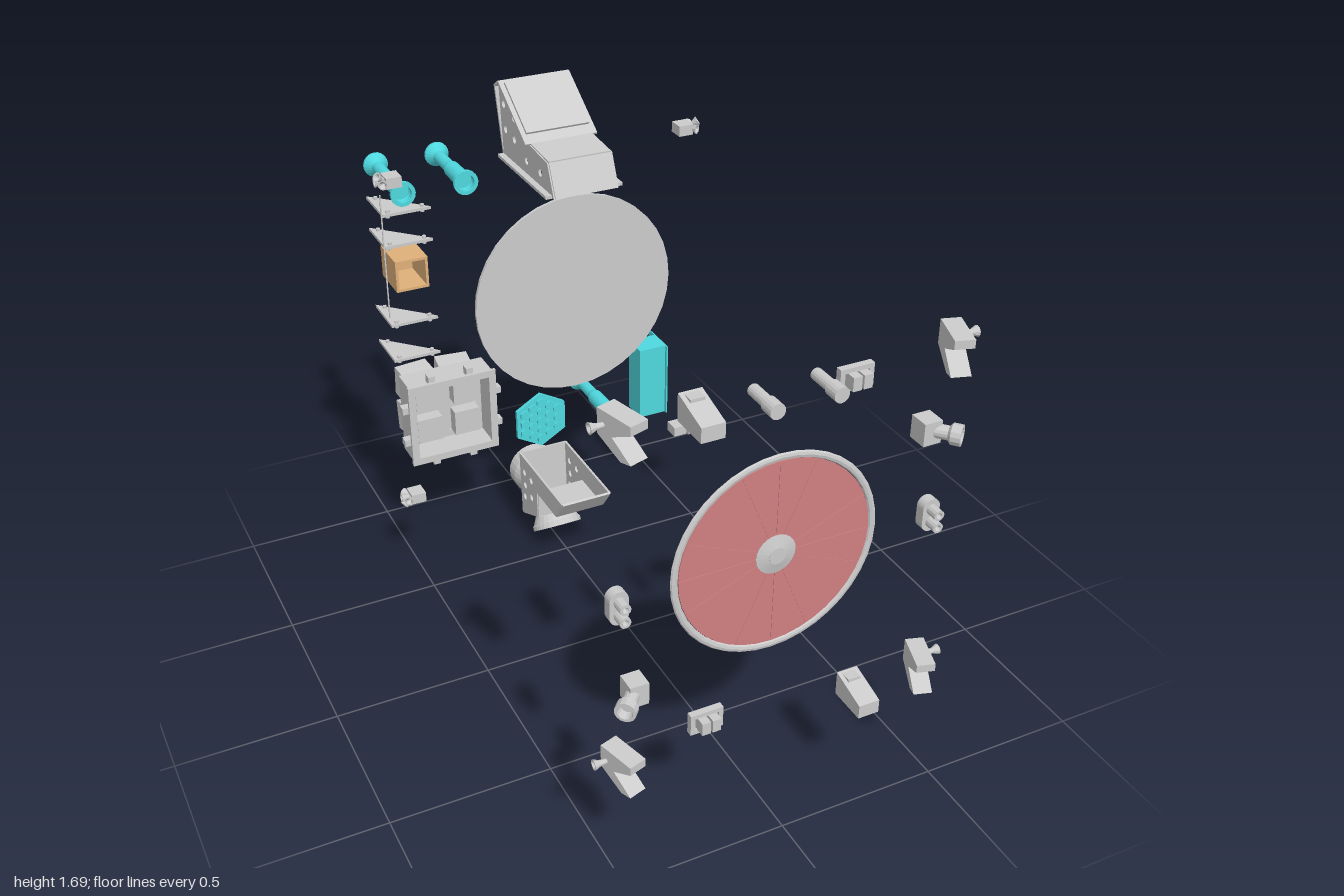
import * as THREE from 'three';

const mat = (color) => new THREE.MeshStandardMaterial({ color, side: THREE.DoubleSide, flatShading: true });
const GREY = mat(0xcccccc), TEAL = mat(0x4fd9e0), RED = mat(0xd08080), TAN = mat(0xe0b07a);

export function createModel() {
  const root = new THREE.Group();
  const add = (name, geo, pos = [0, 0, 0], m = GREY, parent = root) => {
    const mesh = new THREE.Mesh(geo, m);
    mesh.name = name;
    mesh.position.set(...pos);
    parent.add(mesh);
    return mesh;
  };
  const group = (name, x = 0, y = 0, z = 0, parent = root) => {
    const g = new THREE.Group();
    g.name = name;
    g.position.set(x, y, z);
    parent.add(g);
    return g;
  };
  const box = (w, h, d) => new THREE.BoxGeometry(w, h, d);
  const hole = (x, y, r) => new THREE.Path().absarc(x, y, r, 0, Math.PI * 2, true);
  const poly = (pts) => new THREE.Shape(pts.map((p) => new THREE.Vector2(...p)));
  const extrude = (shape, depth) =>
    new THREE.ExtrudeGeometry(shape, { depth, bevelEnabled: false, curveSegments: 6 }).translate(0, 0, -depth / 2);
  // Turned part along +z from [radius, z] pairs
  const turned = (pts, n = 20) =>
    new THREE.LatheGeometry(pts.map((p) => new THREE.Vector2(...p)), n).rotateX(Math.PI / 2);
  // Open frame with a square hole, facing z
  const frame = (w, h, t, d) => {
    const rect = (a, b) => [[-a, -b], [a, -b], [a, b], [-a, b]];
    const s = poly(rect(w / 2, h / 2));
    s.holes.push(poly(rect(w / 2 - t, h / 2 - t)));
    return extrude(s, d);
  };
  // Flat panel across x, running between two [z, y] points
  const panel = (g, name, a, b, w) => {
    const dz = b[0] - a[0], dy = b[1] - a[1];
    const p = add(name, box(w, 0.008, Math.hypot(dz, dy)), [0, (a[1] + b[1]) / 2, (a[0] + b[0]) / 2], GREY, g);
    p.rotation.x = -Math.atan2(dy, dz);
    return p;
  };
  // Pair of pierced side plates with [z, y] outline
  const sidePlates = (g, pts, holes, x) => {
    const s = poly(pts);
    for (const [z, y] of holes) s.holes.push(hole(z, y, 0.013));
    for (const k of [-1, 1]) add('sidePlate', extrude(s, 0.008).rotateY(-Math.PI / 2), [k * x, 0, 0], GREY, g);
  };

  // Red ribbed dish with rim and hub
  const dish = group('dish', 0, 0.885, 0.88);
  add('dishPanel', new THREE.CylinderGeometry(0.288, 0.288, 0.004, 40).rotateX(Math.PI / 2), [0, 0, 0], RED, dish);
  add('dishRim', new THREE.TorusGeometry(0.3, 0.011, 8, 40).scale(1, 1, 0.6), [0, 0, 0], GREY, dish);
  add('dishHub', turned([[0, -0.006], [0.06, -0.004], [0.06, 0.004], [0.025, 0.012], [0.025, 0.014], [0, 0.014]], 24), [0, 0, 0], GREY, dish);
  for (let i = 0; i < 16; i++) {
    const a = (i * Math.PI) / 8;
    const rib = add('dishRib', box(0.225, 0.002, 0.007), [0.172 * Math.cos(a), 0.172 * Math.sin(a), 0], RED, dish);
    rib.rotation.z = a;
  }

  // Large plain disc
  add('largeDisc', new THREE.CylinderGeometry(0.36, 0.36, 0.012, 36).rotateX(Math.PI / 2), [0.14, 0.9, -0.71]);

  // Upper housing: pierced sides, sloped panels, open below
  const upper = group('upperHousing');
  const up = [[-0.285, 1.455], [-0.33, 1.555], [-0.465, 1.565], [-0.672, 1.7], [-0.703, 1.68], [-0.682, 1.455]];
  sidePlates(upper, up, [[-0.385, 1.505], [-0.49, 1.505], [-0.585, 1.61], [-0.665, 1.63], [-0.585, 1.54], [-0.655, 1.55]], 0.103);
  for (let i = 0; i < 4; i++) panel(upper, 'topPanel', up[i], up[i + 1], i < 2 ? 0.205 : 0.24);
  panel(upper, 'raisedPanel', [-0.49, 1.592], [-0.655, 1.7], 0.21);
  const back = poly([[-0.107, -0.115], [0.107, -0.115], [0.12, 0.115], [-0.12, 0.115]]);
  for (const x of [-0.06, 0, 0.06]) for (const y of [-0.05, 0.05]) back.holes.push(hole(x, y, 0.013));
  add('backPlate', extrude(back, 0.008), [0, 1.568, -0.693], GREY, upper).rotation.x = -0.1;
  for (const k of [-1, 1]) add('baseFlange', box(0.024, 0.01, 0.38), [k * 0.115, 1.458, -0.49], GREY, upper);

  // Lower housing: open above, with two bells
  const lower = group('lowerHousing');
  const lo = [[-0.69, 0.33], [-0.32, 0.33], [-0.38, 0.25], [-0.54, 0.25], [-0.54, 0.15], [-0.68, 0.085]];
  sidePlates(lower, lo, [[-0.59, 0.27], [-0.65, 0.27], [-0.59, 0.2], [-0.65, 0.17], [-0.645, 0.22]], 0.087);
  for (let i = 1; i < 6; i++) panel(lower, 'shellPanel', lo[i], lo[(i + 1) % 6], 0.175);
  const bell = [[0, 0], [0.05, 0], [0.058, 0.03], [0.082, 0.08], [0.087, 0.085], [0.087, 0.1], [0.075, 0.1], [0.05, 0.05], [0, 0.04]];
  add('lowerBell', turned(bell, 28), [0, 0.143, -0.636], GREY, lower).rotation.x = 0.95;
  add('rearBell', turned([[0, 0], [0.068, 0], [0.075, 0.03], [0.087, 0.07], [0.087, 0.115], [0.07, 0.115], [0.05, 0.04], [0, 0.04]], 28),
    [0, 0.19, -0.687], GREY, lower).rotation.y = Math.PI;

  // Flanged teal tubes
  const tube = [[0.028, 0.02], [0.028, 0], [0.041, 0], [0.041, 0.012], [0.028, 0.025], [0.027, 0.13], [0.021, 0.15],
    [0.02, 0.25], [0.041, 0.27], [0.041, 0.278], [0.012, 0.286], [0.012, 0.3], [0, 0.3]];
  for (const [x, y] of [[-0.44, 1.375], [-0.23, 1.375], [0.27, 0.393]]) {
    const t = add('flangedTube', turned(tube), [x, y, -0.7], TEAL);
    t.rotation.y = Math.PI;
    add('tubeFloor', new THREE.CircleGeometry(0.028, 20), [0, 0, 0.03], TEAL, t);
  }

  // Teal cabinet with an outer side plate
  add('cabinet', box(0.105, 0.275, 0.09), [0.447, 0.473, -0.757], TEAL);
  add('cabinetSide', box(0.005, 0.275, 0.145), [0.498, 0.473, -0.773], TEAL);

  // Honeycomb block of 19 cells
  const comb = group('honeycomb', 0, 0.437, -0.705);
  add('honeycombCore', new THREE.CylinderGeometry(0.105, 0.105, 0.014, 6).rotateX(Math.PI / 2).rotateZ(0), [0, 0, 0], TEAL, comb);
  for (let q = -2; q <= 2; q++) for (let r = -2; r <= 2; r++) {
    if (Math.abs(q + r) > 2) continue;
    const cell = new THREE.CylinderGeometry(0.019, 0.019, 0.034, 6).rotateX(Math.PI / 2);
    add('honeycombCell', cell, [0.036 * (q / 2) * Math.sqrt(3), 0.036 * (r + q / 2), 0], TEAL, comb);
  }

  // Shelf stack: triangular plates, rod and open crate
  for (const y of [1.31, 1.2, 0.92, 0.79]) {
    const shelf = group('triangleShelf', 0, y, 0);
    add('shelfPlate', extrude(poly([[-0.51, 0.71], [-0.35, 0.71], [-0.51, 0.875]]), 0.01).rotateX(-Math.PI / 2), [0, 0, 0], GREY, shelf);
    for (const [x, z] of [[-0.375, -0.722], [-0.49, -0.722], [-0.49, -0.84]])
      add('shelfPeg', new THREE.CylinderGeometry(0.007, 0.007, 0.026, 8), [x, 0, z], GREY, shelf);
  }
  add('rod', box(0.004, 0.43, 0.004), [-0.513, 1.167, -0.712]);
  add('crateWall', frame(0.11, 0.108, 0.009, 0.14), [-0.426, 1.088, -0.785], TAN);
  add('crateFloor', box(0.11, 0.108, 0.008), [-0.426, 1.088, -0.856], TAN);

  // Four-cell tray: open front, splayed square tubes behind
  const tray = group('fourCellTray', -0.318, 0.525, 0);
  add('trayWall', frame(0.3, 0.29, 0.012, 0.11), [0, 0, -0.76], GREY, tray);
  add('trayRim', frame(0.315, 0.305, 0.025, 0.012), [0, 0, -0.71], GREY, tray);
  add('trayFloor', box(0.3, 0.29, 0.01), [0, 0, -0.815], GREY, tray);
  for (const sx of [-1, 1]) for (const sy of [-1, 1]) {
    const cell = group('cell', sx * 0.068, sy * 0.063, 0, tray);
    add('cellBoss', box(0.09, 0.09, 0.05), [0, 0, -0.79], GREY, cell);
    const t = add('cellTube', frame(0.115, 0.108, 0.012, 0.125), [0, 0, -0.872], GREY, cell);
    t.rotation.set(sy * 0.1, -sx * 0.1, 0);
    add('lugTall', box(0.024, 0.03, 0.03), [0, sy * 0.095, -0.73], GREY, cell);
    add('lugWide', box(0.03, 0.024, 0.03), [sx * 0.095, 0, -0.73], GREY, cell);
  }

  // Corner brackets in front and small thruster blocks behind
  const nozzle = () => turned([[0, 0], [0.007, 0], [0.009, 0.02], [0.016, 0.038], [0.012, 0.038], [0, 0.02]], 10);
  for (const sx of [-1, 1]) for (const y of [1.41, 0.37]) {
    const f = group('cornerBracket', sx * 0.488, y, 0.88);
    const side = poly([[0, -0.01], [0, 0.06], [0.115, 0.055], [0.115, 0.03], [0.05, 0], [0.115, -0.05], [0.08, -0.055]]);
    add('bracketBody', extrude(side, 0.055).rotateY(-Math.PI / 2), [0, 0, 0], GREY, f).rotation.y = -sx * 0.3;
    add('bracketNozzle', nozzle(), [sx * 0.022, 0.025, 0.035], GREY, f).rotation.y = sx * 1.57;

    const r = group('thrusterBlock', sx * 0.5, y > 1 ? 1.465 : 0.315, -0.62);
    add('thrusterBody', box(0.05, 0.035, 0.055), [0, 0, 0], GREY, r);
    for (const ry of [1.57, 2.6, 0.6]) {
      const n = add('thrusterNozzle', nozzle(), [sx * 0.016, 0, 0], GREY, r);
      n.rotation.set(0, sx * ry, 0);
    }
    const v = add('thrusterNozzle', nozzle(), [sx * 0.02, 0, 0], GREY, r);
    v.rotation.set(y > 1 ? -0.6 : 0.6, sx * 1.2, 0, 'YXZ');
  }

  // Angled lens units
  for (const [sx, y] of [[1, 1.172], [-1, 0.605]]) {
    const c = group('lensUnit', sx * 0.425, y, 0.91);
    add('lensBox', box(0.055, 0.068, 0.06), [0, 0, 0], GREY, c);
    add('lensBarrel', turned([[0, 0], [0.02, 0], [0.02, 0.06], [0.03, 0.068], [0.03, 0.095], [0.022, 0.095], [0.018, 0.07], [0, 0.07]], 14),
      [0, 0, 0], GREY, c).rotation.y = sx * 0.72;
  }

  // Rounded mounts with twin studs
  for (const sx of [-1, 1]) {
    const m = group('studMount', sx * 0.47, 0.885, 0);
    const s = new THREE.Shape();
    s.absarc(0, 0.024, 0.027, 0, Math.PI);
    s.absarc(0, -0.024, 0.027, Math.PI, Math.PI * 2);
    add('mountBase', extrude(s, 0.03), [0, 0, 0.898], GREY, m);
    for (const y of [-0.02, 0.02])
      add('mountStud', turned([[0, 0], [0.016, 0], [0.016, 0.04], [0.009, 0.04], [0, 0.02]], 12), [0, y, 0.91], GREY, m);
  }

  // Round pegs
  for (const sx of [-1, 1])
    add('peg', turned([[0, 0], [0.017, 0], [0.017, 0.07], [0.022, 0.075], [0.022, 0.12], [0, 0.12]], 16), [sx * 0.09, 1.405, 0.88]);

  // Wedge blocks: two tall, two low with a recessed frame
  for (const [x, y, k] of [[-0.265, 1.41, 1], [0.262, 0.36, -1]]) {
    const w = extrude(poly([[0, -0.038], [0.12, -0.038], [0.12, 0.005], [0, 0.038]]), 0.066).rotateY(-Math.PI / 2);
    add('tallWedge', w, [x, y, 0.88]);
    add('wedgeCap', box(0.04, 0.012, 0.04), [x, y + 0.03, 0.9]);
  }
  for (const [x, y] of [[0.2, 1.375], [-0.2, 0.4]]) {
    add('lowFrame', frame(0.1, 0.066, 0.014, 0.02), [x, y, 0.89]);
    add('lowPlate', box(0.1, 0.066, 0.006), [x, y, 0.883]);
    for (const k of [-1, 1]) add('lowBlock', box(0.026, 0.04, 0.045), [x + k * 0.016, y, 0.905]);
  }
  return root;
}
